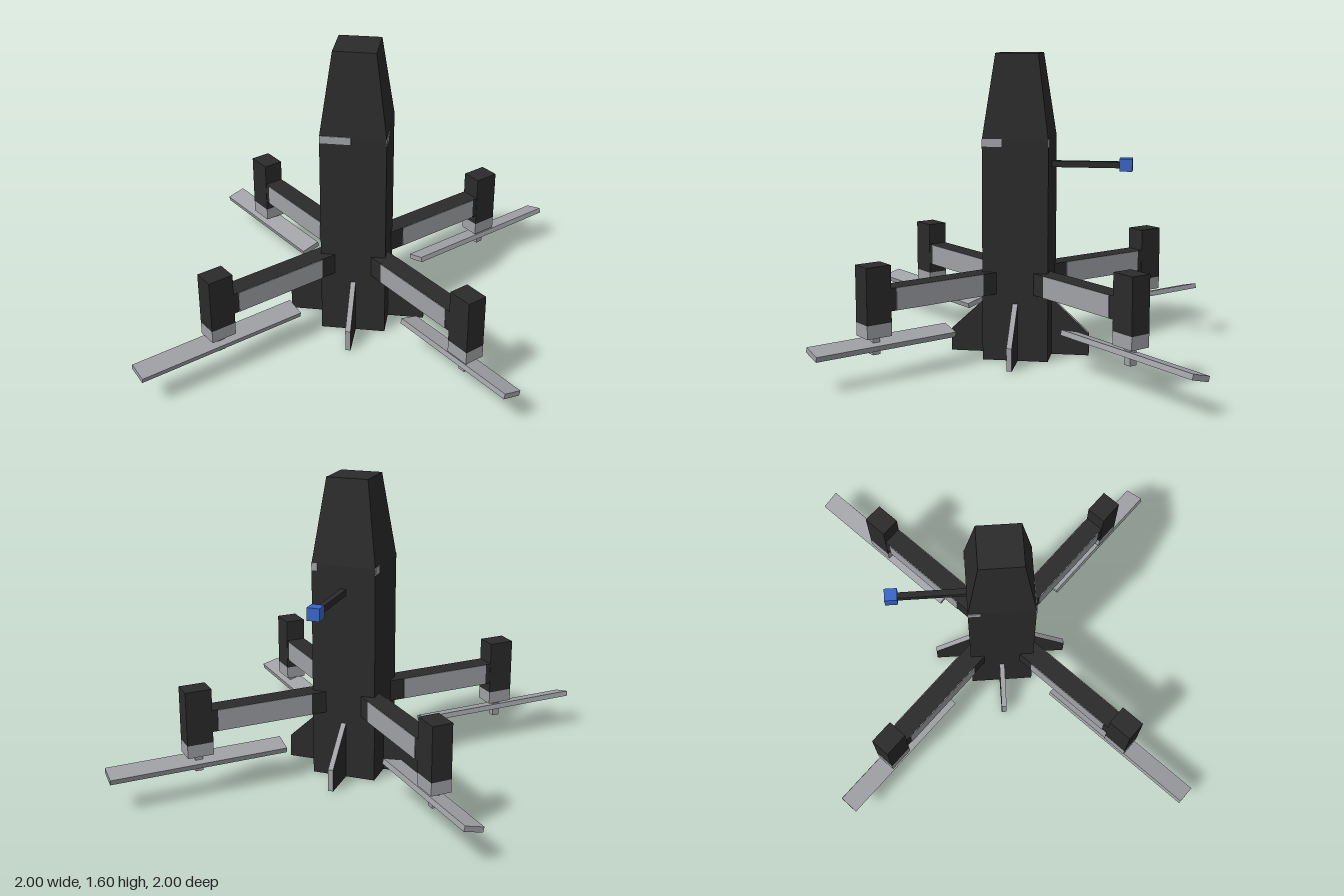
import * as THREE from 'three';

const mat = (name, color) => {
  const m = new THREE.MeshStandardMaterial({ color });
  m.name = name;
  return m;
};

export function createModel() {
  const dark = mat('charcoal', 0x2b2b2b);
  const grey = mat('light grey', 0xa0a2a6);
  const blue = mat('sensor blue', 0x3a66c8);

  const model = new THREE.Group();
  model.name = 'tailSitterDrone';

  const add = (parent, name, geometry, material, x = 0, y = 0, z = 0) => {
    const mesh = new THREE.Mesh(geometry, material);
    mesh.name = name;
    mesh.position.set(x, y, z);
    parent.add(mesh);
    return mesh;
  };
  const box = (parent, name, material, x0, x1, y0, y1, z0, z1) =>
    add(parent, name, new THREE.BoxGeometry(x1 - x0, y1 - y0, z1 - z0), material,
      (x0 + x1) / 2, (y0 + y1) / 2, (z0 + z1) / 2);

  // Square fuselage with a tapered, flat-topped nose
  const half = 0.172;
  box(model, 'fuselage', dark, -half, half, 0, 1.16, -half, half);
  const noseShape = new THREE.CylinderGeometry(0.111 * Math.SQRT2, half * Math.SQRT2, 0.44, 4, 1)
    .rotateY(Math.PI / 4).toNonIndexed();
  noseShape.computeVertexNormals();
  add(model, 'nose', noseShape, dark, 0, 1.38, 0);

  // Stabiliser fins: dark faces with a pale rim
  const finOutline = new THREE.Shape([
    [0.16, 0], [0.37, 0], [0.37, 0.12], [half, 0.305], [0.16, 0.305],
  ].map(([x, y]) => new THREE.Vector2(x, y)));
  const finShape = new THREE.ExtrudeGeometry(finOutline, { depth: 0.028, bevelEnabled: false })
    .translate(0, 0, -0.014);

  // Exposed collar strips: start and end along each face
  const strips = [[-half, -0.01], [-half, -0.07], [-half, -0.14], [-half, -0.105]];

  for (let i = 0; i < 4; i++) {
    const fin = add(model, 'fin', finShape, [dark, grey]);
    fin.rotation.y = i * Math.PI / 2;

    const side = new THREE.Group();
    side.name = 'collarSide';
    side.rotation.y = i * Math.PI / 2;
    box(side, 'collarStrip', grey, strips[i][0], strips[i][1], 1.125, 1.165, half - 0.002, half + 0.003);
    model.add(side);
  }

  // Four diagonal arms with motor pods; rotors on one diagonal are shorter
  const bladeSpans = [[0.445, 1.23], [0.418, 1.358], [0.445, 1.26], [0.418, 1.358]];
  bladeSpans.forEach(([inner, outer], i) => {
    const arm = new THREE.Group();
    arm.name = 'rotorArm';
    arm.rotation.y = -Math.PI / 4 + i * Math.PI / 2;
    model.add(arm);

    box(arm, 'armBeam', dark, 0.12, 0.83, 0.355, 0.47, -0.053, 0.053);
    for (const s of [-1, 1]) {
      const panel = new THREE.BoxGeometry(0.516, 0.113, 0.004);
      add(arm, 'armSidePanel', panel, grey, 0.532, 0.4125, s * 0.054);
    }
    box(arm, 'motorPod', dark, 0.82, 0.957, 0.3, 0.587, -0.055, 0.055);
    box(arm, 'motor', grey, 0.82, 0.957, 0.232, 0.3, -0.055, 0.055);
    box(arm, 'rotorShaft', grey, 0.868, 0.908, 0.14, 0.232, -0.02, 0.02);
    const blade = box(arm, 'rotorBlade', grey, inner, outer, 0.178, 0.206, -0.053, 0.053);
    blade.rotation.x = -0.26;
  });

  // Rear boom with a sensor cube at its tip
  box(model, 'sensorBoom', dark, -0.016, 0.016, 1.007, 1.04, -0.54, -0.16);
  box(model, 'sensor', blue, -0.033, 0.033, 0.992, 1.058, -0.59, -0.524);

  return model;
}
